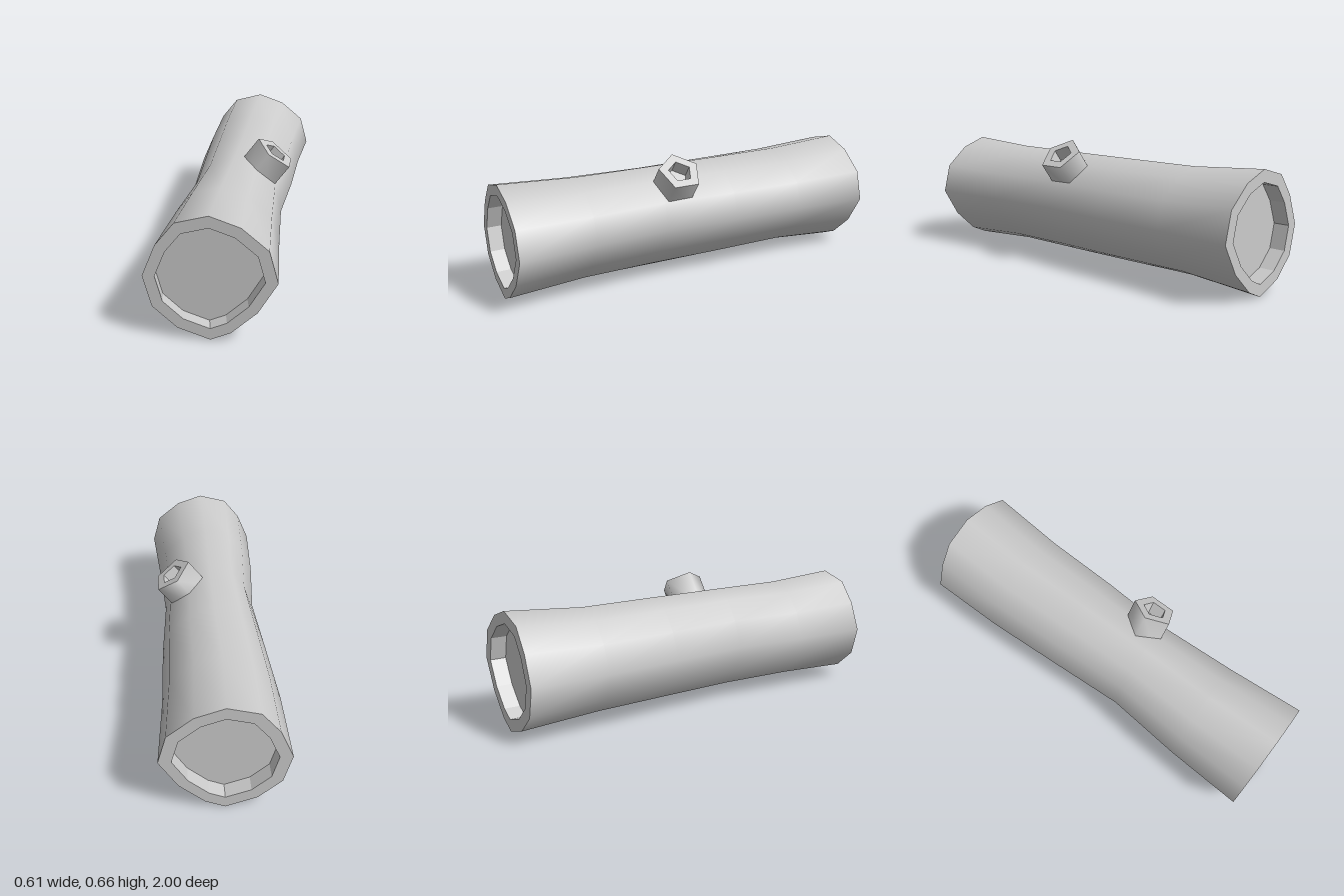
import * as THREE from 'three';

const MID_Y = 0.305;
// Log cross-section, counter-clockwise seen from the front
const OUTLINE = [
  [0.302, 0], [0.262, 0.151], [0.14, 0.253], [0, 0.301], [-0.152, 0.26], [-0.24, 0.15],
  [-0.302, 0], [-0.262, -0.15], [-0.15, -0.25], [0, -0.301], [0.093, -0.26], [0.213, -0.15],
];
const PENTAGON = Array.from({ length: 5 }, (_, i) => {
  const a = (i * 2 * Math.PI) / 5;
  return [Math.cos(a), Math.sin(a)];
});

// Joins scaled copies of a profile; each ring is [z, scaleX, scaleY, offsetX, offsetY]
function loft(name, profile, rings, flat) {
  const n = profile.length, pos = [], index = [];
  for (const [z, sx, sy = sx, ox = 0, oy = 0] of rings) {
    for (const [x, y] of profile) pos.push(x * sx + ox, y * sy + oy, z);
  }
  for (let i = 0; i < rings.length - 1; i++) {
    for (let j = 0; j < n; j++) {
      const a = i * n + j, b = i * n + ((j + 1) % n);
      if (rings[i][1] > 0) index.push(a, b, a + n);
      if (rings[i + 1][1] > 0) index.push(b, b + n, a + n);
    }
  }
  let geo = new THREE.BufferGeometry();
  geo.setAttribute('position', new THREE.Float32BufferAttribute(pos, 3));
  geo.setIndex(index);
  if (flat) geo = geo.toNonIndexed();
  geo.computeVertexNormals();
  const mesh = new THREE.Mesh(geo, new THREE.MeshStandardMaterial({ color: 0xcccccc, flatShading: flat }));
  mesh.name = name;
  return mesh;
}

export function createModel() {
  const model = new THREE.Group();
  model.name = 'hollowLog';

  const log = new THREE.Group();
  log.name = 'log';
  log.position.y = MID_Y;

  // Bark: pinched at the waist, flared at both ends
  log.add(loft('bark', OUTLINE, [
    [-1, 1.01, 1.01],
    [-0.6, 0.955, 0.915, -0.012],
    [-0.2, 0.895, 0.915, -0.005],
    [0.2, 0.81, 0.915, -0.004],
    [0.6, 0.91, 0.915, -0.008],
    [1, 0.99, 0.99],
  ], false));

  // Cut ends: rim, shallow recess wall and floor
  log.add(loft('frontEnd', OUTLINE, [
    [1, 0.99], [1, 0.805], [0.92, 0.805, 0.805, -0.016, -0.005], [0.92, 0],
  ], true));
  log.add(loft('backEnd', OUTLINE, [
    [-0.92, 0], [-0.92, 0.805], [-1, 0.805], [-1, 1.01],
  ], true));
  model.add(log);

  // Hollow five-sided branch stub leaning out to the left
  const stub = new THREE.Group();
  stub.name = 'branchStub';
  stub.add(loft('stubBark', PENTAGON, [[-0.2, 0.114], [0, 0.114]], false));
  stub.add(loft('stubEnd', PENTAGON, [[0, 0.114], [0, 0.063], [-0.07, 0.063], [-0.07, 0]], true));
  const axis = new THREE.Vector3(0.604, 0.797, 0).normalize();
  const side = new THREE.Vector3(-axis.y, axis.x, 0);
  stub.quaternion.setFromRotationMatrix(
    new THREE.Matrix4().makeBasis(side, new THREE.Vector3(0, 0, 1), axis));
  stub.position.set(0.203, 0.596, 0.11);
  model.add(stub);

  return model;
}
